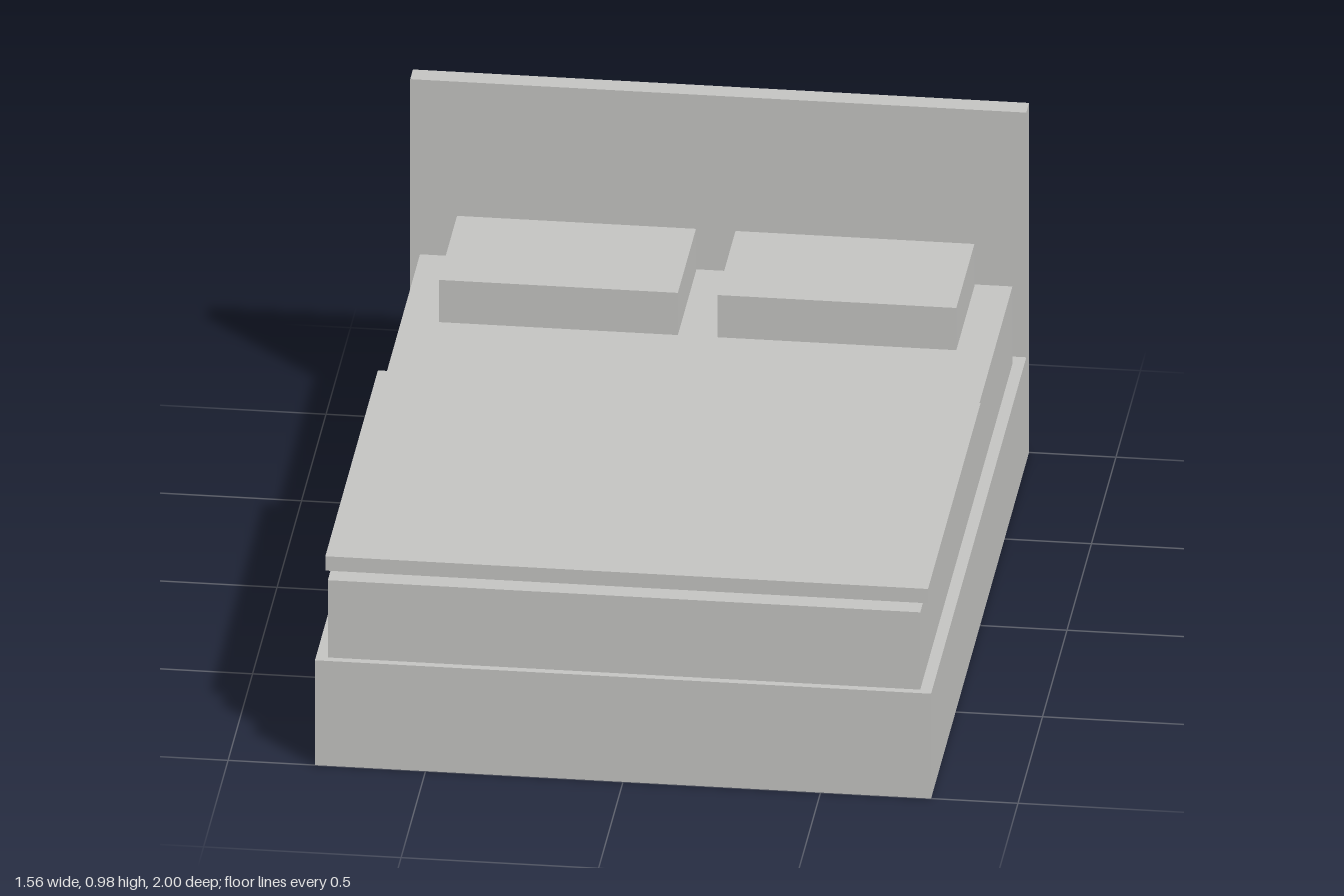
import * as THREE from 'three';

export function createModel() {
  const bed = new THREE.Group();
  bed.name = 'doubleBed';
  const paleGrey = new THREE.MeshStandardMaterial({ color: 0xc8c8c6 });
  paleGrey.name = 'paleGrey';

  // Box given by its x, y and z ranges
  function block(name, [x0, x1], [y0, y1], [z0, z1]) {
    const mesh = new THREE.Mesh(new THREE.BoxGeometry(x1 - x0, y1 - y0, z1 - z0), paleGrey);
    mesh.position.set((x0 + x1) / 2, (y0 + y1) / 2, (z0 + z1) / 2);
    mesh.name = name;
    bed.add(mesh);
  }

  const baseTop = 0.293, mattressTop = 0.509;

  // Frame
  block('base', [-0.78, 0.78], [0, baseTop], [-0.944, 1]);
  block('headboard', [-0.78, 0.78], [0, 0.977], [-1, -0.944]);

  // Bedding
  block('mattress', [-0.75, 0.75], [baseTop, mattressTop], [-0.903, 0.98]);
  block('blanket', [-0.763, 0.763], [mattressTop, 0.549], [-0.148, 0.926]);
  block('leftPillow', [0.05, 0.655], [mattressTop, 0.627], [-0.893, -0.523]);
  block('rightPillow', [-0.655, -0.05], [mattressTop, 0.627], [-0.893, -0.523]);

  return bed;
}
